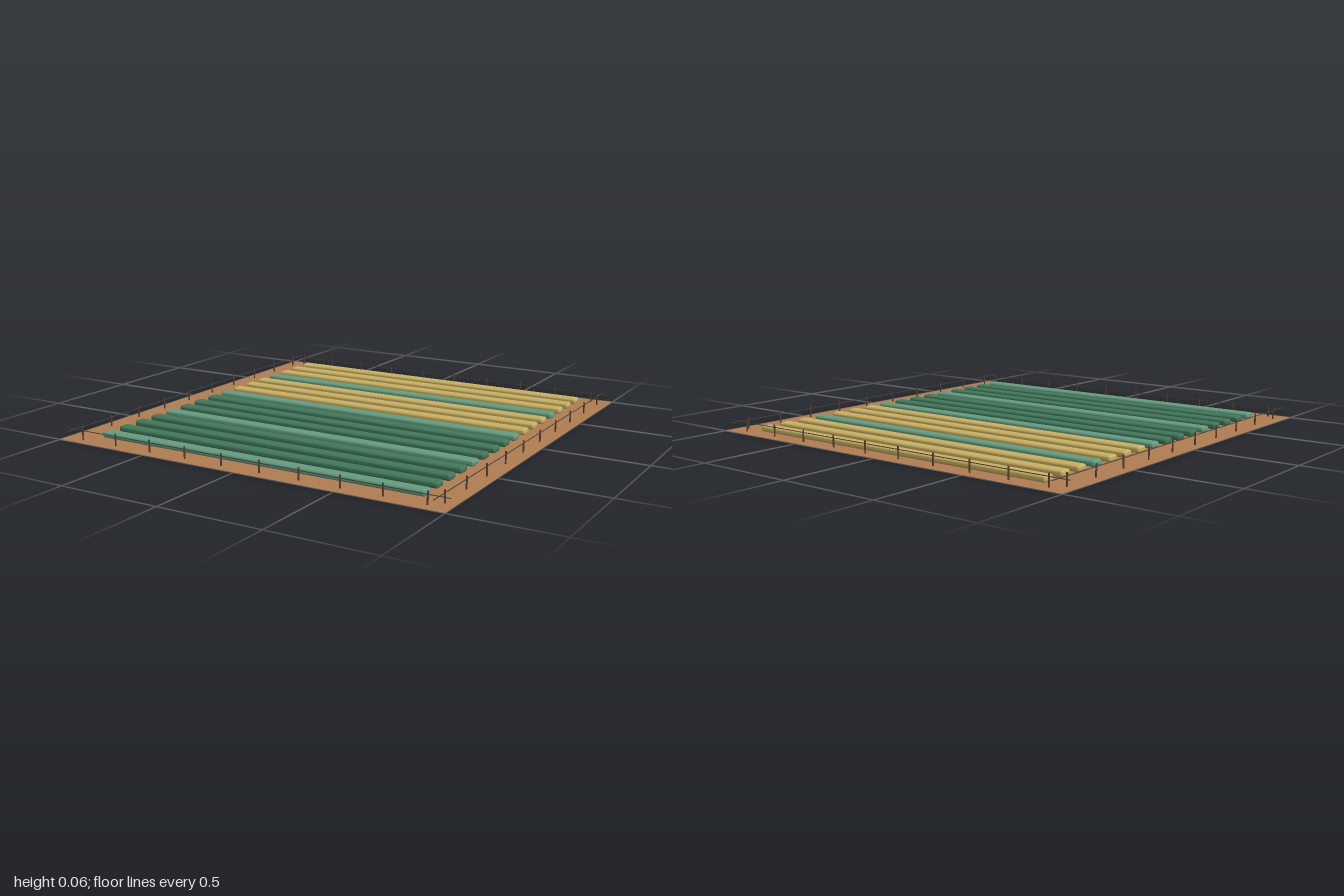
import * as THREE from 'three';
import { RoundedBoxGeometry } from 'three/addons/geometries/RoundedBoxGeometry.js';

const material = (name, color, side = THREE.FrontSide) => {
  const m = new THREE.MeshStandardMaterial({ color, side });
  m.name = name;
  return m;
};

export function createModel() {
  const group = new THREE.Group();
  group.name = 'plantedGarden';
  const soil = material('soilBrown', 0xb07d53, THREE.DoubleSide);
  const crops = {
    y: material('strawYellow', 0xc9b062),
    l: material('paleGreen', 0x659d80),
    d: material('deepGreen', 0x41785a),
  };
  const wood = material('stakeWood', 0x5a4030);
  const twine = material('twineDark', 0x4a4440);

  const add = (name, geometry, mat, x, y, z) => {
    const mesh = new THREE.Mesh(geometry, mat);
    mesh.name = name;
    mesh.position.set(x, y, z);
    group.add(mesh);
    return mesh;
  };

  // Ground sheet, just above the undersides of the rows
  add('ground', new THREE.PlaneGeometry(2, 2).rotateX(-Math.PI / 2), soil, 0, 0.001, 0);

  // Sixteen crop rows, listed from back to front
  const rowGeometry = new RoundedBoxGeometry(1.7, 0.03, 0.06, 2, 0.012);
  [...'yyylyyyldddldddl'].forEach((kind, i) => {
    add('cropRow', rowGeometry, crops[kind], 0, 0.015, -0.878 + i * 0.115);
  });

  // Boundary stakes and twine on all four sides
  const stake = new THREE.CylinderGeometry(0.004, 0.004, 0.058, 6);
  const twineX = new THREE.BoxGeometry(2, 0.003, 0.003);
  const twineZ = new THREE.BoxGeometry(0.003, 0.003, 2);
  for (const s of [-1, 1]) {
    add('twine', twineX, twine, 0, 0.045, s * 0.95);
    add('twine', twineZ, twine, s * 0.95, 0.045, 0);
    for (let i = 0; i < 10; i++) {
      const t = -0.9 + i * 0.2;
      add('stake', stake, wood, t, 0.03, s * 0.95);
      add('stake', stake, wood, s * 0.95, 0.03, t);
    }
  }
  return group;
}
